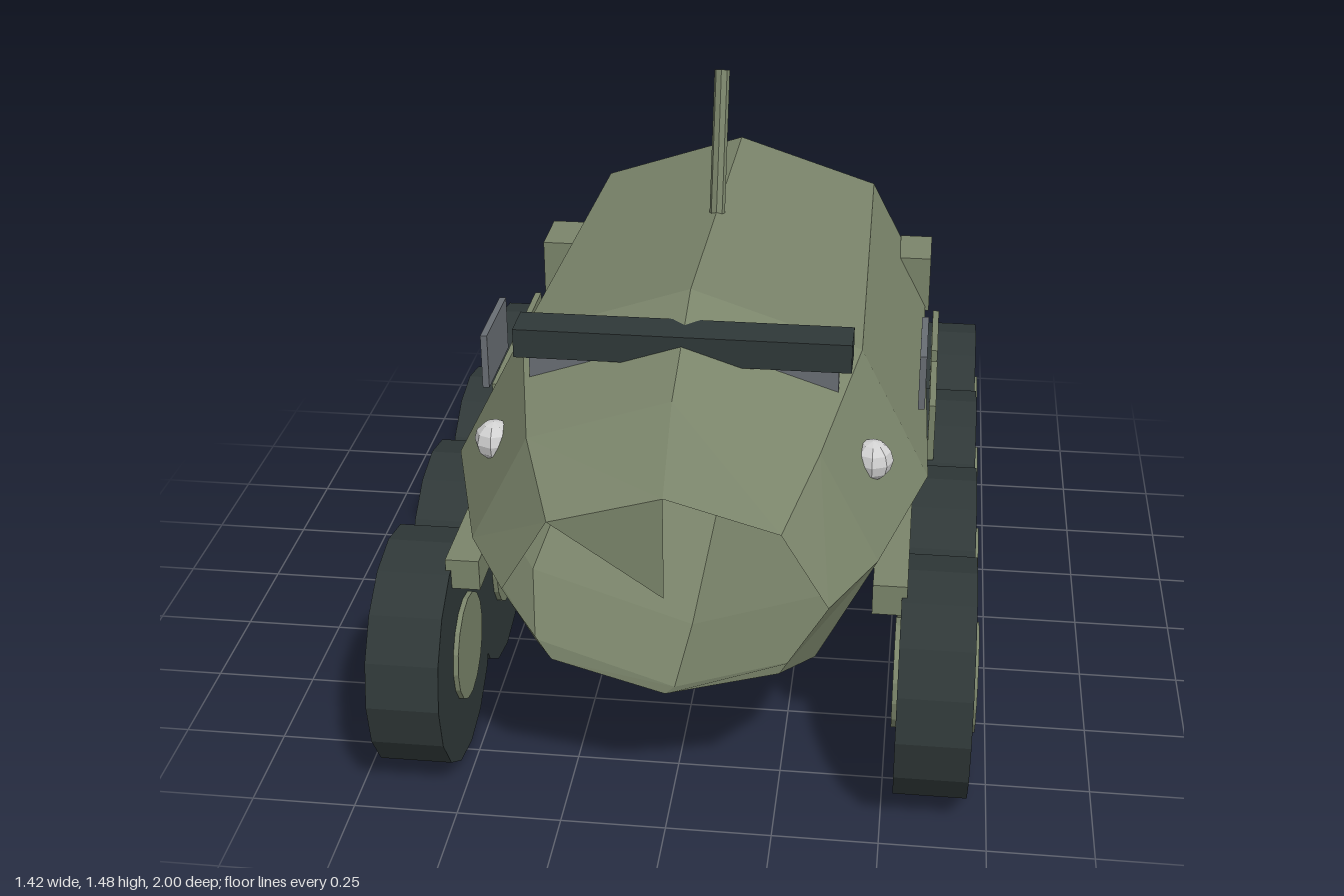
import * as THREE from 'three';

const flat = (name, color, side = THREE.FrontSide) =>
  Object.assign(new THREE.MeshStandardMaterial({ color, flatShading: true, side }), { name });

export function createModel() {
  const olive = flat('olive', 0x7a846a);
  const hullOlive = olive.clone();
  hullOlive.name = 'olive hull';
  hullOlive.side = THREE.DoubleSide;
  const rubber = flat('rubber', 0x2f3838);
  const grey = flat('steel grey', 0x686d73);
  const lamp = flat('lamp', 0xd2d2d2);

  const model = new THREE.Group();
  model.name = 'armouredCar';
  const add = (name, geometry, material, x = 0, y = 0, z = 0) => {
    const mesh = new THREE.Mesh(geometry, material);
    mesh.name = name;
    mesh.position.set(x, y, z);
    model.add(mesh);
    return mesh;
  };
  // Box given by its extents on each axis
  const box = (name, material, [x0, x1], [y0, y1], [z0, z1]) =>
    add(name, new THREE.BoxGeometry(Math.abs(x1 - x0), y1 - y0, z1 - z0), material,
      (x0 + x1) / 2, (y0 + y1) / 2, (z0 + z1) / 2);

  // Hull: octagonal rings [z, centre y, x radius, y radius], open at both ends
  const rings = [
    [0.98, 0.625, 0.368, 0.255],
    [0.815, 0.655, 0.47, 0.38],
    [0.465, 0.69, 0.575, 0.465],
    [-0.75, 0.67, 0.545, 0.435],
    [-0.92, 0.57, 0.368, 0.28],
  ];
  const point = ([z, cy, rx, ry], i) => {
    const a = Math.PI / 2 + (i * Math.PI) / 4;
    return [rx * Math.cos(a), cy + ry * Math.sin(a), z];
  };
  const verts = [];
  for (let r = 0; r < rings.length - 1; r++) {
    for (let i = 0; i < 8; i++) {
      const a = point(rings[r], i), b = point(rings[r + 1], i);
      const c = point(rings[r + 1], i + 1), d = point(rings[r], i + 1);
      verts.push(...a, ...b, ...c, ...a, ...c, ...d);
    }
  }
  // One triangular flap in each open end
  const front = rings[0], rear = rings[4];
  verts.push(0, front[1], front[0], ...point(front, 0), ...point(front, 1));
  verts.push(0, rear[1], rear[0], ...point(rear, 0), ...point(rear, 7));
  const hull = new THREE.BufferGeometry();
  hull.setAttribute('position', new THREE.Float32BufferAttribute(verts, 3));
  hull.computeVertexNormals();
  add('hull', hull, hullOlive);

  // Windscreen plate, front bar and rear bumper
  box('windscreenPlate', grey, [-0.36, 0.36], [0.78, 1.05], [0.585, 0.62]);
  box('frontBar', rubber, [-0.39, 0.39], [1.045, 1.115], [0.55, 0.65]);
  box('rearBumper', olive, [-0.19, 0.19], [0.28, 0.365], [-1.0, -0.9]);

  // Leaning antenna
  const foot = new THREE.Vector3(0, 1.12, -0.1), tip = new THREE.Vector3(0, 1.475, -0.215);
  const antenna = add('antenna', new THREE.CylinderGeometry(0.02, 0.02, foot.distanceTo(tip), 8), olive);
  antenna.position.lerpVectors(foot, tip, 0.5);
  antenna.quaternion.setFromUnitVectors(new THREE.Vector3(0, 1, 0), tip.clone().sub(foot).normalize());

  // Wheels lie along x
  const tyreGeo = new THREE.CylinderGeometry(0.287, 0.287, 0.173, 16).rotateZ(Math.PI / 2);
  const hubGeo = new THREE.CylinderGeometry(0.132, 0.132, 0.197, 16).rotateZ(Math.PI / 2);
  const lampGeo = new THREE.SphereGeometry(0.048, 8, 6);

  for (const s of [1, -1]) {
    const side = s > 0 ? 'left' : 'right';
    for (let i = 0; i < 4; i++) {
      const z = 0.716 - i * 0.445;
      add(`${side}Tyre${i + 1}`, tyreGeo, rubber, s * 0.614, 0.29, z);
      add(`${side}Hub${i + 1}`, hubGeo, olive, s * 0.614, 0.29, z);
    }
    box(`${side}Fender`, olive, [s * 0.46, s * 0.54], [0.51, 0.587], [-0.775, 0.81]);
    box(`${side}FrontSkirt`, olive, [s * 0.573, s * 0.59], [0.5, 0.66], [-0.24, 0.03]);
    box(`${side}RearSkirt`, olive, [s * 0.573, s * 0.59], [0.5, 0.66], [-0.58, -0.31]);
    box(`${side}StowageBox`, olive, [s * 0.47, s * 0.56], [0.66, 0.82], [-0.75, -0.58]);
    box(`${side}SidePlate`, grey, [s * 0.543, s * 0.56], [0.765, 0.91], [0.02, 0.26]);
    add(`${side}Headlight`, lampGeo, lamp, s * 0.445, 0.825, 0.645);
  }
  return model;
}
